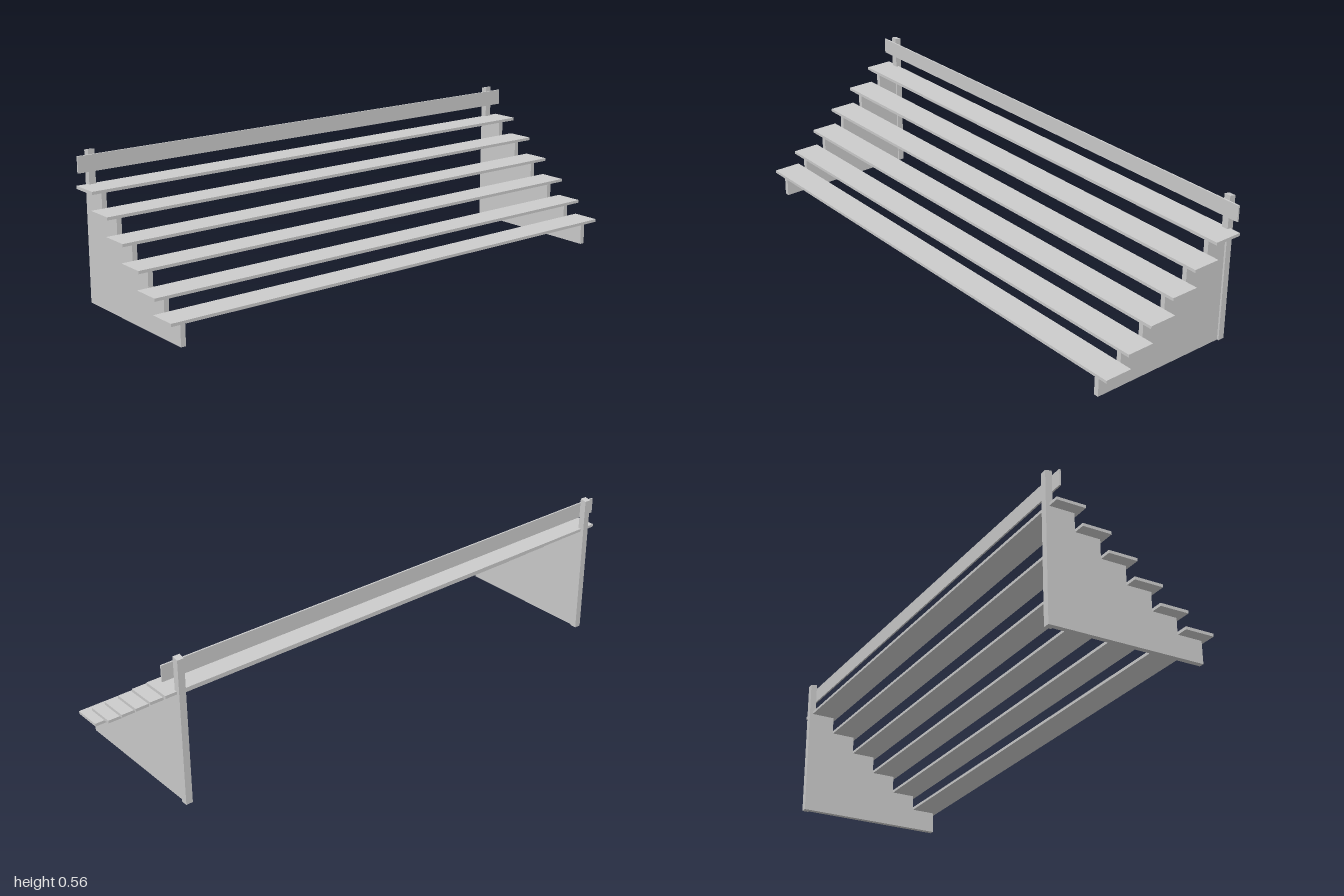
import * as THREE from 'three';

const material = new THREE.MeshStandardMaterial({ color: 0xcccccc, flatShading: true });

// Box given by its x, y and z ranges
function box(name, [x0, x1], [y0, y1], [z0, z1]) {
  const mesh = new THREE.Mesh(new THREE.BoxGeometry(x1 - x0, y1 - y0, z1 - z0), material);
  mesh.position.set((x0 + x1) / 2, (y0 + y1) / 2, (z0 + z1) / 2);
  mesh.name = name;
  return mesh;
}

// Side profile in x/y, extruded from z0 to z1
function slab(name, points, z0, z1) {
  const shape = new THREE.Shape(points.map(([x, y]) => new THREE.Vector2(x, y)));
  const geometry = new THREE.ExtrudeGeometry(shape, { depth: z1 - z0, bevelEnabled: false });
  const mesh = new THREE.Mesh(geometry, material);
  mesh.position.z = z0;
  mesh.name = name;
  return mesh;
}

export function createModel() {
  const group = new THREE.Group();
  group.name = 'bleachers';

  const plankThickness = 0.011;
  const plankTops = [0.434, 0.365, 0.294, 0.224, 0.154, 0.094];
  const pitch = 0.0952;
  const backX = -0.275;

  // Seat planks, from the highest row to the lowest
  plankTops.forEach((top, i) => {
    const x = -0.287 + i * pitch;
    group.add(box(`seatPlank${i + 1}`, [x, x + 0.109], [top - plankThickness, top], [-1, 1]));
  });

  // Stepped outline of the side supports
  const steps = [[backX, 0]];
  plankTops.forEach((top, i) => {
    const y = top - plankThickness;
    steps.push([i ? -0.193 + (i - 1) * pitch : backX, y]);
    steps.push([-0.193 + i * pitch, y]);
  });
  steps.push([0.284, 0]);
  steps.reverse();

  // Slanted top of the back posts
  const post = [[-0.3, 0], [backX, 0], [backX, 0.558], [-0.3, 0.553]];

  for (const [side, z] of [['left', 0.943], ['right', -0.943]]) {
    const end = side === 'left' ? 'front' : 'rear';
    group.add(slab(`${end}SidePanel`, steps, z - 0.006, z + 0.013));
    group.add(slab(`${end}BackPost`, post, z - 0.013, z + 0.013));
  }

  // Back rail fixed to the posts
  group.add(box('backRail', [backX, -0.269], [0.48, 0.54], [-1, 1]));

  return group;
}
